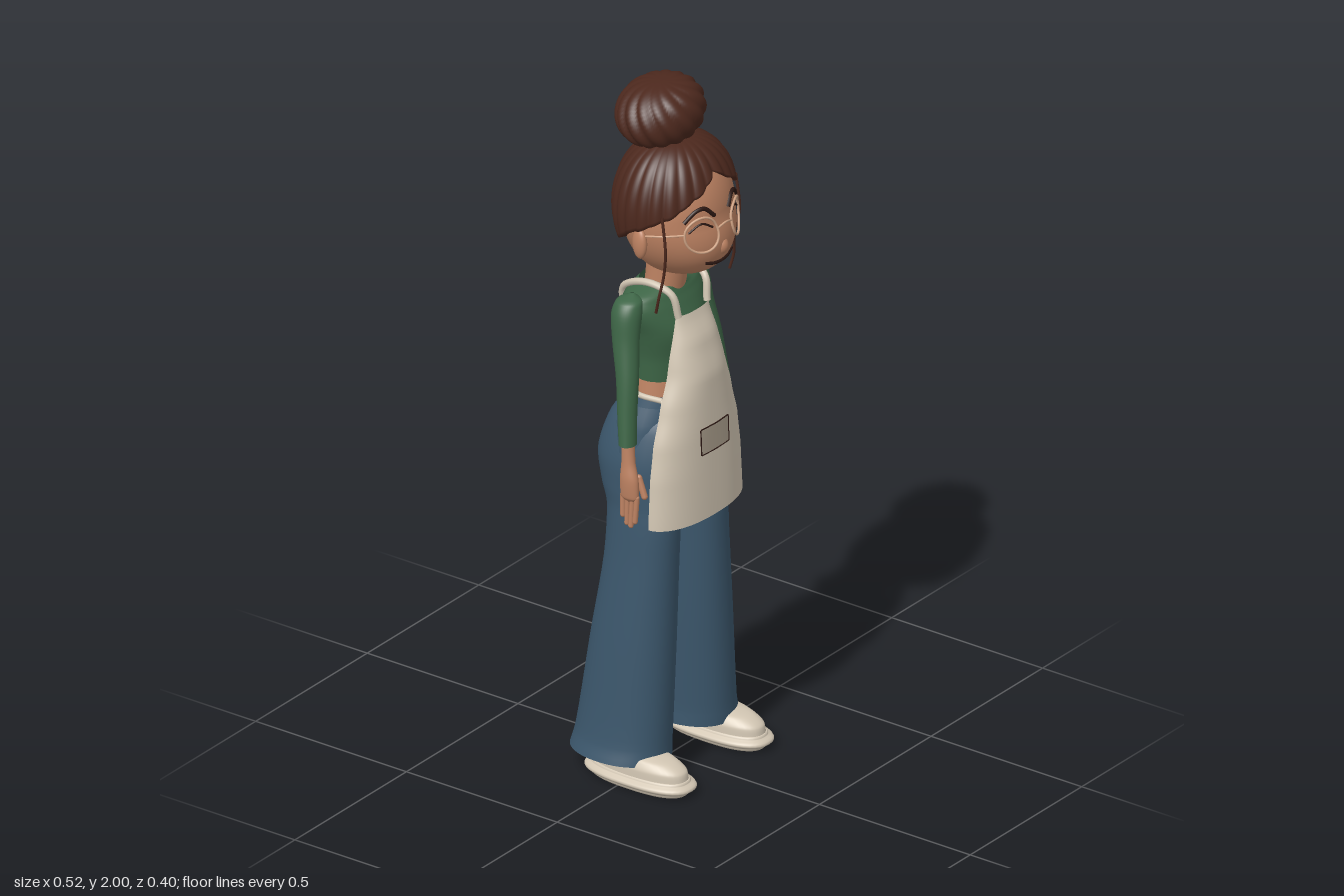
import * as THREE from 'three';

const mat = (name, color, double) => {
  const m = new THREE.MeshStandardMaterial({ color });
  m.name = name;
  if (double) m.side = THREE.DoubleSide;
  return m;
};

// Grid surface from fn(u, v) -> [x, y, z]; u wraps around when closed
function surface(fn, nu, nv, closed = true) {
  const pos = [], idx = [], cols = closed ? nu : nu + 1;
  for (let j = 0; j <= nv; j++)
    for (let i = 0; i < cols; i++) pos.push(...fn(i / nu, j / nv));
  for (let j = 0; j < nv; j++)
    for (let i = 0; i < nu; i++) {
      const a = j * cols + i, b = j * cols + (i + 1) % cols;
      idx.push(a, b, b + cols, a, b + cols, a + cols);
    }
  const g = new THREE.BufferGeometry();
  g.setAttribute('position', new THREE.Float32BufferAttribute(pos, 3));
  g.setIndex(idx);
  g.computeVertexNormals();
  return g;
}

// Smooth body through horizontal rings [y, cx, cz, rx, rz], listed from bottom to top
function loft(rings, side = 1, power = 1, nv = 28) {
  const c = new THREE.CatmullRomCurve3(rings.map(r => new THREE.Vector3(side * r[1], r[0], r[2])));
  const s = new THREE.CatmullRomCurve3(rings.map(r => new THREE.Vector3(r[3], 0, r[4])));
  const p = x => Math.sign(x) * Math.abs(x) ** power;
  return surface((u, v) => {
    const a = u * Math.PI * 2, o = c.getPoint(v), r = s.getPoint(v);
    return [o.x + r.x * p(Math.sin(a)), o.y, o.z + r.z * p(Math.cos(a))];
  }, 40, nv);
}

const tube = (pts, r, closed = false) => new THREE.TubeGeometry(
  new THREE.CatmullRomCurve3(pts.map(p => new THREE.Vector3(...p)), closed), 32, r, 8, closed);

// Piecewise linear lookup in [key, value] pairs with rising keys
function lookup(table, k) {
  for (let i = 1; i < table.length; i++) {
    const [a, va] = table[i - 1], [b, vb] = table[i];
    if (k <= b) return va + (vb - va) * THREE.MathUtils.smoothstep(k, a, b) * 0.4 + (vb - va) * 0.6 * Math.max(0, (k - a) / (b - a));
  }
  return table[table.length - 1][1];
}

// Depth of the face surface
const faceZ = (x, y) => 0.03 + Math.sqrt(Math.max(0, 1 - (x / 0.165) ** 2 - ((y - 1.655) / 0.19) ** 2))
  * (0.145 + 0.35 * Math.max(0, 1.655 - y));

// Apron sheet: u across, v from hem to bib
const apronWidth = [[0.77, 0.193], [0.9, 0.186], [1.0, 0.172], [1.1, 0.142], [1.2, 0.107], [1.36, 0.07]];
const apronFront = [[0.77, 0.16], [1.18, 0.15], [1.28, 0.128], [1.36, 0.095]];
function apronPoint(x, y, lift = 0) {
  const w = lookup(apronWidth, y), t = Math.min(1, Math.abs(x) / w);
  return [x, y, 0.075 + (lookup(apronFront, y) - 0.075) * Math.sqrt(1 - t ** 2.4) + lift];
}

export function createModel() {
  const root = new THREE.Group();
  root.name = 'womanInApron';
  const skin = mat('skin', 0xbd8262), hair = mat('hair brown', 0x4c281d, true), green = mat('shirt green', 0x3d6546, true);
  const denim = mat('trouser blue', 0x3b566b, true), cream = mat('apron cream', 0xd2c6b3, true);
  const shade = mat('pocket taupe', 0xa99d8b, true), dark = mat('line dark', 0x2b1712), frame = mat('glasses frame', 0xd0a384);
  const add = (name, geo, m, pos, scale, rot) => {
    const mesh = new THREE.Mesh(geo, m);
    mesh.name = name;
    if (pos) mesh.position.set(...pos);
    if (scale) mesh.scale.set(...scale);
    if (rot) mesh.rotation.set(...rot);
    root.add(mesh);
    return mesh;
  };
  const ball = new THREE.SphereGeometry(1, 24, 16);

  // Head, neck and nose
  add('head', surface((u, v) => {
    const a = u * Math.PI * 2, f = (v - 0.5) * Math.PI, y = 1.655 + 0.19 * Math.sin(f);
    const n = Math.cos(f) * Math.cos(a);
    return [0.165 * Math.cos(f) * Math.sin(a), y, 0.03 + n * (0.145 + (n > 0 ? 0.35 * Math.max(0, 1.655 - y) : 0))];
  }, 48, 32), skin);
  add('neck', loft([[1.36, 0, -0.02, 0.075, 0.06], [1.42, 0, -0.01, 0.058, 0.055], [1.52, 0, 0, 0.055, 0.058]]), skin);
  add('nose', ball, skin, [0, 1.575, 0.172], [0.02, 0.026, 0.023]);

  // Hair cap with scalloped locks, a centre parting and a sloping lower edge
  const edge = [[0, 1.785], [0.5, 1.735], [1, 1.685], [1.57, 1.64], [2.2, 1.58], [3.15, 1.54]];
  add('hairCap', surface((u, v) => {
    const a = u * Math.PI * 2, d = Math.min(a, Math.PI * 2 - a);
    const low = Math.asin((lookup(edge, d) - 1.67) / 0.19);
    const t = Math.max(0, (v - 0.05) / 0.95), f = low + (Math.PI / 2 - low) * t;
    const groove = 0.045 * Math.abs(Math.sin(12 * a)) * (1 - t * t) - 0.03 * Math.exp(-((d / 0.1) ** 2)) * (1 - t);
    const r = Math.abs(Math.cos(f)) ** 0.75 * (0.975 + groove) * (v === 0 ? 0.88 : 1);
    return [0.182 * r * Math.sin(a), 1.67 + 0.19 * Math.sin(f), 0.02 + 0.158 * r * Math.cos(a)];
  }, 192, 24), hair);

  // Bun with swirling locks
  add('hairBun', surface((u, v) => {
    const a = u * Math.PI * 2, f = (v - 0.5) * Math.PI;
    const r = Math.abs(Math.cos(f)) ** 0.75 * (0.93 + 0.09 * Math.abs(Math.sin(7 * a + 3 * f)));
    return [0.007 + 0.128 * r * Math.sin(a), 1.915 + 0.085 * Math.sin(f) + 0.012 * r * Math.sin(a), -0.032 + 0.117 * r * Math.cos(a)];
  }, 168, 28), hair);

  // Torso and bare midriff
  add('midriff', loft([[1.08, 0, -0.01, 0.11, 0.085], [1.2, 0, -0.01, 0.094, 0.072]]), skin);
  add('shirt', loft([[1.155, 0, -0.01, 0.1, 0.078], [1.22, 0, -0.01, 0.104, 0.083], [1.3, 0, -0.01, 0.122, 0.095],
    [1.37, 0, -0.022, 0.148, 0.082], [1.405, 0, -0.025, 0.135, 0.07], [1.425, 0, -0.02, 0.07, 0.06]]), green);

  // Trousers: hips, then flared legs
  add('trouserHips', loft([[0.79, 0, -0.01, 0.05, 0.04], [0.83, 0, -0.015, 0.135, 0.09], [0.93, 0, -0.022, 0.172, 0.115],
    [1.03, 0, -0.018, 0.155, 0.115], [1.12, 0, -0.006, 0.118, 0.1]]), denim);
  add('waistband', loft([[1.09, 0, -0.008, 0.131, 0.105], [1.122, 0, -0.006, 0.121, 0.102]], 1, 1, 2), denim);

  // Apron, pocket and waist tie
  add('apron', surface((u, v) => {
    const y = 0.77 + 0.59 * v, x = Math.sin((u - 0.5) * Math.PI) * lookup(apronWidth, y);
    return apronPoint(x, y);
  }, 40, 40, false), cream);
  add('pocket', surface((u, v) => apronPoint(-0.065 + 0.12 * u, 0.965 + 0.075 * v, 0.006), 12, 6, false), shade);
  const rim = [[0, 0], [1, 0], [1, 1], [0, 1], [0, 0]].map(([u, v]) => apronPoint(-0.065 + 0.12 * u, 0.965 + 0.075 * v, 0.006));
  for (let i = 0; i < 4; i++) {
    const mid = apronPoint((rim[i][0] + rim[i + 1][0]) / 2, (rim[i][1] + rim[i + 1][1]) / 2, 0.006);
    add('pocketEdge', tube([rim[i], mid, rim[i + 1]], 0.0018), dark);
  }
  add('waistTie', tube([[0.13, 1.13, 0.075], [0.135, 1.13, 0], [0.09, 1.13, -0.085], [0, 1.13, -0.115],
    [-0.09, 1.13, -0.085], [-0.135, 1.13, 0], [-0.13, 1.13, 0.075]], 0.008), cream);

  for (const s of [1, -1]) {
    const at = pts => pts.map(p => [s * p[0], p[1], p[2]]);
    const onFace = (pts, lift = 0.002) => pts.map(([x, y]) => [s * x, y, faceZ(x, y) + lift]);

    // Face details
    add('eyebrow', tube(onFace([[0.03, 1.675], [0.06, 1.703], [0.085, 1.7], [0.115, 1.672]]), 0.006), dark);
    add('eyelid', tube(onFace([[0.04, 1.645], [0.072, 1.662], [0.108, 1.642]]), 0.003), dark);
    const ring = Array.from({ length: 16 }, (_, i) => [0.075 + 0.045 * Math.cos(i * Math.PI / 8), 1.632 + 0.05 * Math.sin(i * Math.PI / 8)]);
    add('glassesRim', tube(onFace(ring, 0.008), 0.0035, true), frame);
    add('glassesArm', tube(at([[0.12, 1.64, 0.14], [0.158, 1.64, 0.1], [0.172, 1.63, 0.04]]), 0.003), frame);
    add('mouth', tube(onFace([[0, 1.53], [0.03, 1.532], [0.06, 1.54]]), 0.005), dark);

    // Ears and loose strands
    add('ear', ball, skin, [s * 0.17, 1.605, 0.03], [0.016, 0.045, 0.026], [0, s * 0.3, 0]);
    add('looseStrand', tube(at([[0.165, 1.7, 0.1], [0.166, 1.6, 0.112], [0.158, 1.52, 0.1], [0.168, 1.46, 0.092], [0.165, 1.41, 0.08]]), 0.004), hair);

    // Apron shoulder strap
    add('shoulderStrap', tube(at([[0.064, 1.355, 0.08], [0.074, 1.42, 0.066], [0.084, 1.442, 0.02], [0.085, 1.436, -0.04],
      [0.075, 1.4, -0.095], [0.058, 1.33, -0.105]]), 0.01), cream);

    // Sleeve, hand and fingers
    add('sleeve', loft([[1.02, 0.213, 0.022, 0.027, 0.023], [1.1, 0.202, 0.012, 0.028, 0.026], [1.2, 0.185, 0, 0.031, 0.031],
      [1.3, 0.165, -0.02, 0.035, 0.038], [1.37, 0.15, -0.028, 0.04, 0.043], [1.405, 0.138, -0.028, 0.034, 0.036],
      [1.42, 0.125, -0.028, 0.005, 0.006]], s), green);
    add('hand', loft([[0.855, 0.22, 0.034, 0.004, 0.01], [0.87, 0.221, 0.034, 0.014, 0.028], [0.92, 0.221, 0.033, 0.018, 0.028],
      [0.97, 0.217, 0.027, 0.017, 0.02], [1.04, 0.211, 0.021, 0.019, 0.017]], s), skin);
    for (let i = 0; i < 4; i++) {
      const len = [0.07, 0.085, 0.08, 0.06][i];
      add('finger', new THREE.CapsuleGeometry(0.0075, len, 4, 8), skin, [s * 0.222, 0.872 - len / 2, 0.056 - i * 0.0145], null, [0.05 - i * 0.03, 0, s * 0.05]);
    }
    add('thumb', new THREE.CapsuleGeometry(0.009, 0.055, 4, 8), skin, [s * 0.205, 0.9, 0.062], null, [-0.35, 0, 0]);

    // Flared trouser leg
    add('trouserLeg', loft([[0.07, 0.15, -0.047, 0.111, 0.145], [0.12, 0.144, -0.042, 0.102, 0.139], [0.4, 0.126, -0.023, 0.093, 0.122],
      [0.65, 0.111, -0.006, 0.081, 0.106], [0.78, 0.103, -0.006, 0.077, 0.106], [0.85, 0.093, -0.018, 0.085, 0.118],
      [0.93, 0.086, -0.026, 0.088, 0.126], [1.03, 0.07, -0.018, 0.075, 0.112], [1.1, 0.05, -0.01, 0.05, 0.08]], s, 0.92, 44), denim);

    // Shoe: thick sole and rounded upper
    add('shoeSole', loft([[0, 0.173, 0.035, 0.001, 0.001], [0.001, 0.173, 0.035, 0.059, 0.147], [0.012, 0.173, 0.035, 0.065, 0.155],
      [0.036, 0.173, 0.035, 0.065, 0.155], [0.044, 0.173, 0.035, 0.06, 0.15], [0.045, 0.173, 0.035, 0.001, 0.001]], s, 0.8), cream);
    add('shoeUpper', loft([[0.04, 0.173, 0.035, 0.061, 0.15], [0.065, 0.173, 0.033, 0.06, 0.146], [0.085, 0.173, 0.02, 0.052, 0.125],
      [0.1, 0.172, -0.01, 0.045, 0.09], [0.15, 0.17, -0.03, 0.038, 0.06]], s, 0.85), cream);
    add('ankle', new THREE.CylinderGeometry(0.035, 0.035, 0.2, 20), skin, [s * 0.165, 0.2, -0.03]);
  }
  add('glassesBridge', tube([[-0.031, 1.64, faceZ(0.031, 1.64) + 0.008], [0, 1.648, faceZ(0, 1.648) + 0.012],
    [0.031, 1.64, faceZ(0.031, 1.64) + 0.008]], 0.003), frame);
  return root;
}
